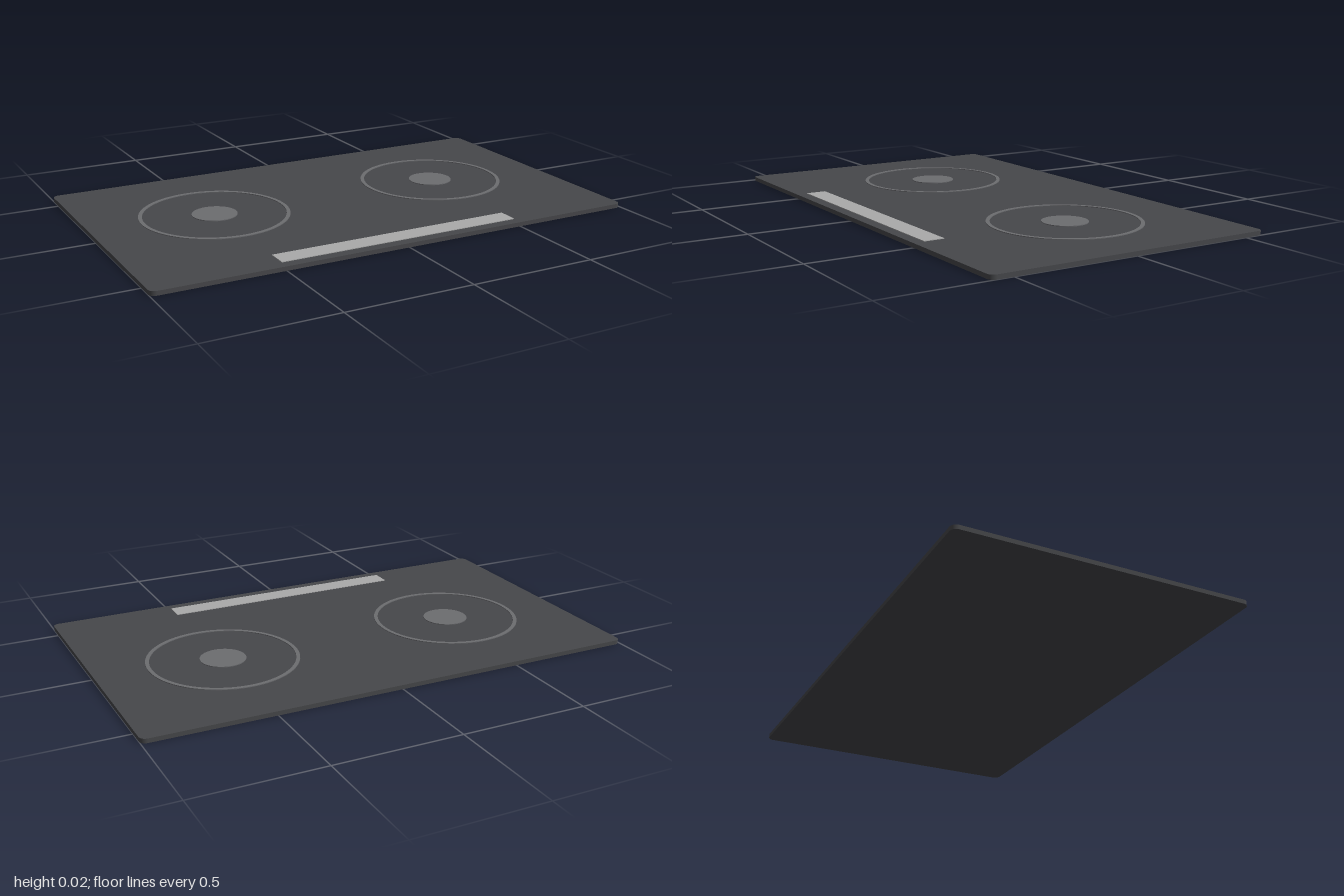
import * as THREE from 'three';

const TOP = 0.017; // upper face of the glass

const paint = (color) => new THREE.MeshStandardMaterial({ color });

// Extrudes a flat outline upward from height y
function slab(name, shape, y, height, material) {
  const geometry = new THREE.ExtrudeGeometry(shape, { depth: height, bevelEnabled: false, curveSegments: 48 });
  geometry.rotateX(-Math.PI / 2);
  const mesh = new THREE.Mesh(geometry, material);
  mesh.name = name;
  mesh.position.y = y;
  return mesh;
}

function roundedRect(w, d, r) {
  const x = w / 2 - r, z = d / 2 - r;
  const s = new THREE.Shape();
  s.absarc(x, z, r, 0, Math.PI / 2);
  s.absarc(-x, z, r, Math.PI / 2, Math.PI);
  s.absarc(-x, -z, r, Math.PI, Math.PI * 1.5);
  s.absarc(x, -z, r, Math.PI * 1.5, Math.PI * 2);
  s.closePath();
  return s;
}

export function createModel() {
  const group = new THREE.Group();
  group.name = 'cooktop';
  const glass = paint(0x47484b);
  const marking = paint(0x6c6d70);

  // Glass plate with small rounded corners
  group.add(slab('glassPlate', roundedRect(2, 1.175, 0.025), 0, TOP, glass));

  // Two cooking zones: thin outer ring and centre disc
  const ring = new THREE.Shape().absarc(0, 0, 0.298, 0, Math.PI * 2);
  ring.holes.push(new THREE.Path().absarc(0, 0, 0.283, 0, Math.PI * 2, true));
  for (const side of [1, -1]) {
    const zone = new THREE.Group();
    zone.name = side > 0 ? 'leftZone' : 'rightZone';
    zone.position.set(side * 0.5, 0, -0.06);
    zone.add(slab('zoneRing', ring, TOP, 0.003, marking));
    const disc = new THREE.Mesh(new THREE.CylinderGeometry(0.09, 0.09, 0.003, 64), marking);
    disc.name = 'zoneCentre';
    disc.position.y = TOP + 0.0015;
    zone.add(disc);
    group.add(zone);
  }

  // Control strip along the front edge
  const strip = new THREE.Mesh(new THREE.BoxGeometry(1, 0.003, 0.082), paint(0xaaaaaa));
  strip.name = 'controlStrip';
  strip.position.set(0, TOP + 0.001, 0.505);
  group.add(strip);

  return group;
}
